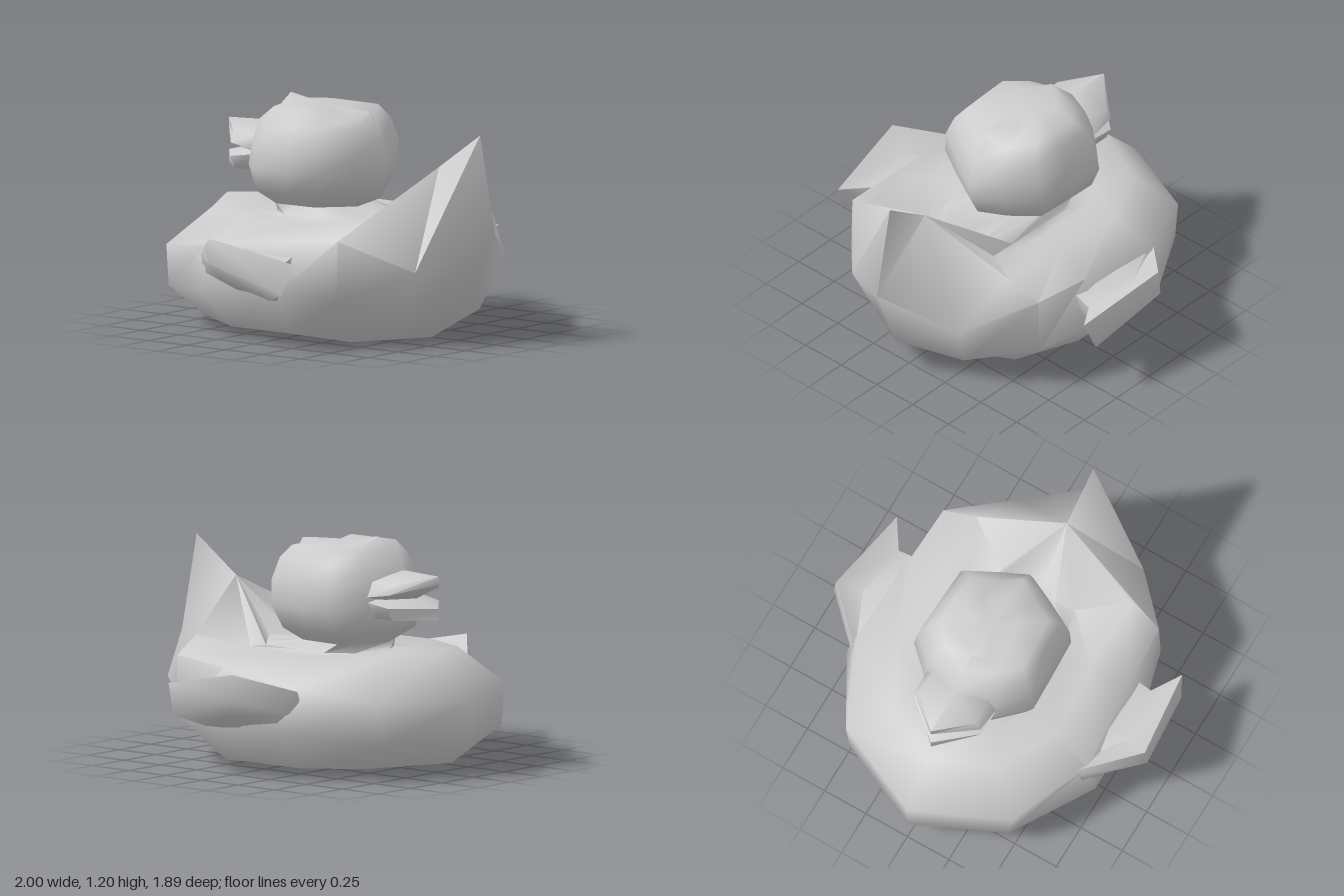
import * as THREE from 'three';
import { toCreasedNormals } from 'three/addons/utils/BufferGeometryUtils.js';

// Closed skin over a stack of rings; each end is capped when a centre is given
function loft(rings, startCentre, endCentre) {
  const n = rings[0].length, pos = [], index = [], last = rings.length - 1;
  rings.forEach(r => r.forEach(p => pos.push(...p)));
  for (let i = 0; i < n; i++) {
    const j = (i + 1) % n;
    for (let r = 0; r < last; r++) {
      const a = r * n + i, b = r * n + j, c = b + n, d = a + n;
      index.push(a, b, c, a, c, d);
    }
  }
  const cap = (centre, base, flip) => {
    const k = pos.length / 3;
    pos.push(...centre);
    for (let i = 0; i < n; i++) {
      const j = (i + 1) % n;
      index.push(base + (flip ? j : i), base + (flip ? i : j), k);
    }
  };
  if (startCentre) cap(startCentre, 0, true);
  if (endCentre) cap(endCentre, last * n, false);
  const g = new THREE.BufferGeometry();
  g.setAttribute('position', new THREE.Float32BufferAttribute(pos, 3));
  g.setIndex(index);
  return toCreasedNormals(g, 1.2);
}

// Complete a half ring (front to back on +z) with its mirror image
const mirror = half => [...half, ...half.slice(1, -1).reverse().map(([x, y, z]) => [x, y, -z])];

// Half ring of the head: one shared plan, scaled between a front and a back x
const along = [0, 0.13, 0.29, 0.53, 0.78, 0.9, 1], across = [0, 0.6, 1, 0.98, 0.95, 0.45, 0];
const headRing = ([yFront, ySide, yRear, yBack, front, back, width]) => {
  const y = [yFront, ySide, ySide, ySide, ySide, yRear, yBack];
  return along.map((t, i) => [front + t * (back - front), y[i], across[i] * width]);
};

export function createModel() {
  const model = new THREE.Group();
  const grey = new THREE.MeshStandardMaterial({ color: 0xcccccc });
  grey.name = 'plain grey';
  const add = (name, geometry) => {
    const mesh = new THREE.Mesh(geometry, grey);
    mesh.name = name;
    model.add(mesh);
  };

  // Body: base, belly, shoulder, back rim rising to the tail, and the back
  const tip = [0.9, 1.09, 0], spine = [0.63, 0.9, 0];
  const base = [[-0.85, 0.06, 0], [-0.61, 0.05, 0.39], [-0.3, 0.04, 0.56], [0.06, 0.04, 0.56],
    [0.36, 0, 0.39], [0.5, 0, 0.14], [0.58, 0, 0]];
  const body = [
    [[-1, 0.19, 0], [-0.78, 0.2, 0.48], [-0.35, 0.24, 0.75], [0.15, 0.28, 0.75], [0.47, 0.26, 0.66], [0.66, 0.12, 0.3], [0.86, 0.21, 0]],
    [[-1, 0.4, 0], [-0.78, 0.42, 0.5], [-0.35, 0.48, 0.7], [0.13, 0.54, 0.67], [0.47, 0.57, 0.65], [0.77, 0.4, 0.38], [1, 0.58, 0]],
    [[-0.77, 0.635, 0], [-0.62, 0.61, 0.32], [-0.3, 0.6, 0.48], [0.1, 0.6, 0.46], [0.5, 0.65, 0.47], spine, tip],
    [[-0.5, 0.625, 0], [-0.44, 0.6, 0.2], [-0.28, 0.585, 0.3], [0.05, 0.58, 0.29], [0.34, 0.58, 0.22], spine, spine],
  ];

  // Neck and head up to the crown, which is dented either side of a rear ridge
  const head = [
    [0.62, 0.6, 0.6, 0.61, -0.43, 0.4, 0.25],
    [0.65, 0.65, 0.645, 0.64, -0.41, 0.09, 0.23],
    [0.73, 0.715, 0.69, 0.69, -0.54, 0.22, 0.31],
    [0.8, 0.84, 0.82, 0.81, -0.57, 0.28, 0.36],
    [0.92, 0.97, 0.93, 0.89, -0.55, 0.285, 0.345],
    [1.04, 1.08, 1.05, 1.02, -0.51, 0.25, 0.3],
    [1.13, 1.145, 1.1, 1.145, -0.42, 0.17, 0.25],
    [1.2, 1.165, 1.135, 1.155, -0.35, 0.04, 0.13],
  ].map(headRing);
  add('bodyTailAndHead', loft([base, ...body, ...head].map(mirror), null, [-0.14, 1.165, 0]));

  // Slightly hollow underside
  add('underside', loft([mirror(base)], [-0.1, 0.09, 0], null));

  // Open bill in one loop: lower lip, mouth recess, upper lip
  const lip = (widths, heights) => mirror([-0.76, -0.59, -0.43, -0.3].map((x, i) => [x, heights[i], widths[i]]));
  const wide = [0, 0.2, 0.21, 0], narrow = [0, 0.17, 0.17, 0];
  add('bill', loft([
    lip(narrow, [0.8, 0.8, 0.8, 0.8]),
    lip(wide, [0.86, 0.865, 0.89, 0.89]),
    mirror([[-0.61, 0.9, 0], [-0.52, 0.9, 0.14], [-0.42, 0.9, 0.19], [-0.3, 0.9, 0]]),
    lip(wide, [0.985, 0.935, 0.91, 0.91]),
    lip(narrow, [1.03, 0.985, 0.99, 1.0]),
  ], [-0.5, 0.79, 0], [-0.53, 1.04, 0]));

  // Wings: sections sweeping out of the flank to a blunt back edge
  const wing = [
    [[-0.4, 0.46, 0.67], [-0.4, 0.42, 0.69], [-0.38, 0.34, 0.7], [-0.36, 0.28, 0.68], [-0.36, 0.4, 0.6], [-0.4, 0.48, 0.65]],
    [[-0.15, 0.56, 0.93], [-0.15, 0.43, 0.945], [-0.12, 0.34, 0.88], [-0.12, 0.25, 0.7], [-0.12, 0.5, 0.6], [-0.1, 0.47, 0.8]],
    [[0.35, 0.46, 0.86], [0.29, 0.3, 0.89], [0.14, 0.25, 0.81], [0.12, 0.23, 0.7], [0.2, 0.5, 0.6], [0.2, 0.44, 0.76]],
  ];
  add('leftWing', loft(wing, [-0.38, 0.38, 0.66], [0.2, 0.34, 0.78]));
  const flipped = wing.map(r => r.map(([x, y, z]) => [x, y, -z]).reverse());
  add('rightWing', loft(flipped, [-0.38, 0.38, -0.66], [0.2, 0.34, -0.78]));

  return model;
}
